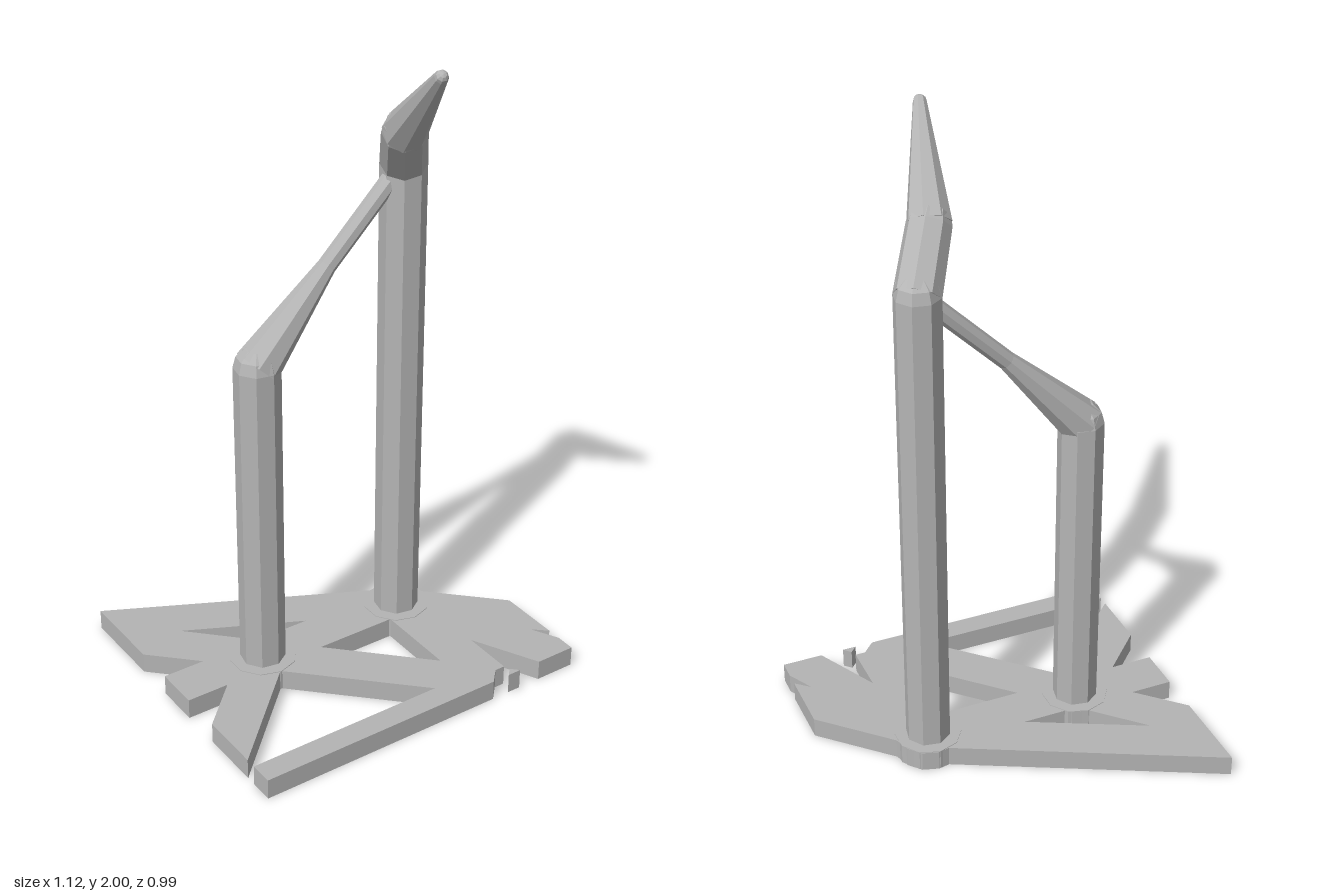
import * as THREE from 'three';

const PLATE = 0.065;

export function createModel() {
  const model = new THREE.Group();
  const grey = new THREE.MeshStandardMaterial({ color: 0xb4b4b4, flatShading: true });
  grey.name = 'plain grey';

  const add = (name, geometry, parent = model) => {
    const mesh = new THREE.Mesh(geometry, grey);
    mesh.name = name;
    parent.add(mesh);
    return mesh;
  };
  const outline = (pts) => pts.map(([x, z]) => new THREE.Vector2(x, z));

  // Flat slab from an outline in x, z
  const slab = (name, pts, holes = []) => {
    const shape = new THREE.Shape(outline(pts));
    holes.forEach((h) => shape.holes.push(new THREE.Path(outline(h))));
    const geo = new THREE.ExtrudeGeometry(shape, { depth: PLATE, bevelEnabled: false });
    geo.rotateX(Math.PI / 2).translate(0, PLATE, 0);
    return add(name, geo);
  };

  // Openwork base with crossing struts
  slab('base', [
    [-0.56, -0.497], [0.22, -0.108], [0.255, -0.115], [0.305, -0.1], [0.338, -0.062], [0.355, -0.01],
    [0.557, 0.19], [0.557, 0.39], [0.512, 0.35], [0.557, 0.435], [0.557, 0.497], [0.427, 0.497],
    [0.323, 0.29], [0.323, 0.455], [0.29, 0.455], [0.25, 0.497], [-0.56, 0.497], [-0.56, 0.423],
    [0.083, 0.423], [-0.255, 0.09], [-0.56, 0.39], [-0.56, 0.193], [-0.425, 0.058], [-0.56, 0.058],
    [-0.56, -0.085], [-0.425, -0.085], [-0.56, -0.218],
  ], [
    [[-0.402, -0.26], [-0.047, -0.085], [-0.19, -0.085], [-0.205, -0.1], [-0.258, -0.115]],
    [[-0.085, 0.058], [0.18, 0.058], [0.18, 0.323]],
  ]);
  slab('baseChip', [[0.33, 0.474], [0.352, 0.497], [0.308, 0.497]]);

  // Chain of eight-sided tapered segments with faceted joints; points are [x, y, z, radius]
  const limb = (name, points) => {
    const group = new THREE.Group();
    group.name = name;
    model.add(group);
    const up = new THREE.Vector3(0, 1, 0);
    for (let i = 0; i < points.length - 1; i++) {
      const a = new THREE.Vector3(...points[i]);
      const b = new THREE.Vector3(...points[i + 1]);
      const [ra, rb] = [points[i][3], points[i + 1][3]];
      const dir = b.clone().sub(a);
      const turn = new THREE.Quaternion().setFromUnitVectors(up, dir.clone().normalize());
      const tube = new THREE.CylinderGeometry(rb, ra, dir.length(), 8);
      tube.rotateY(0.2);
      const segment = add(name + 'Segment', tube, group);
      segment.position.copy(a).add(b).multiplyScalar(0.5);
      segment.quaternion.copy(turn);
      const ball = new THREE.SphereGeometry(rb, 8, 6);
      ball.rotateY(0.2 + Math.PI / 2);
      const joint = add(name + 'Joint', ball, group);
      joint.position.copy(b);
      joint.quaternion.copy(turn);
    }
  };

  // Short post with a thin brace reaching the tall post
  limb('shortPost', [
    [-0.255, 0.01, -0.01, 0.07], [-0.255, 1.07, -0.01, 0.07],
    [-0.015, 1.325, -0.01, 0.028], [0.24, 1.575, -0.01, 0.028],
  ]);

  // Tall post with a bent, pointed tip
  limb('tallPost', [
    [0.25, 0.01, -0.01, 0.07], [0.25, 1.58, -0.01, 0.07],
    [0.167, 1.73, 0.105, 0.066], [0.085, 1.98, 0.37, 0.02],
  ]);

  // Collars around the feet of the posts
  for (const x of [-0.255, 0.25]) {
    const collar = add('collar', new THREE.CylinderGeometry(0.105, 0.105, PLATE + 0.001, 10));
    collar.position.set(x, (PLATE + 0.001) / 2 + 0.001, -0.01);
  }
  return model;
}
